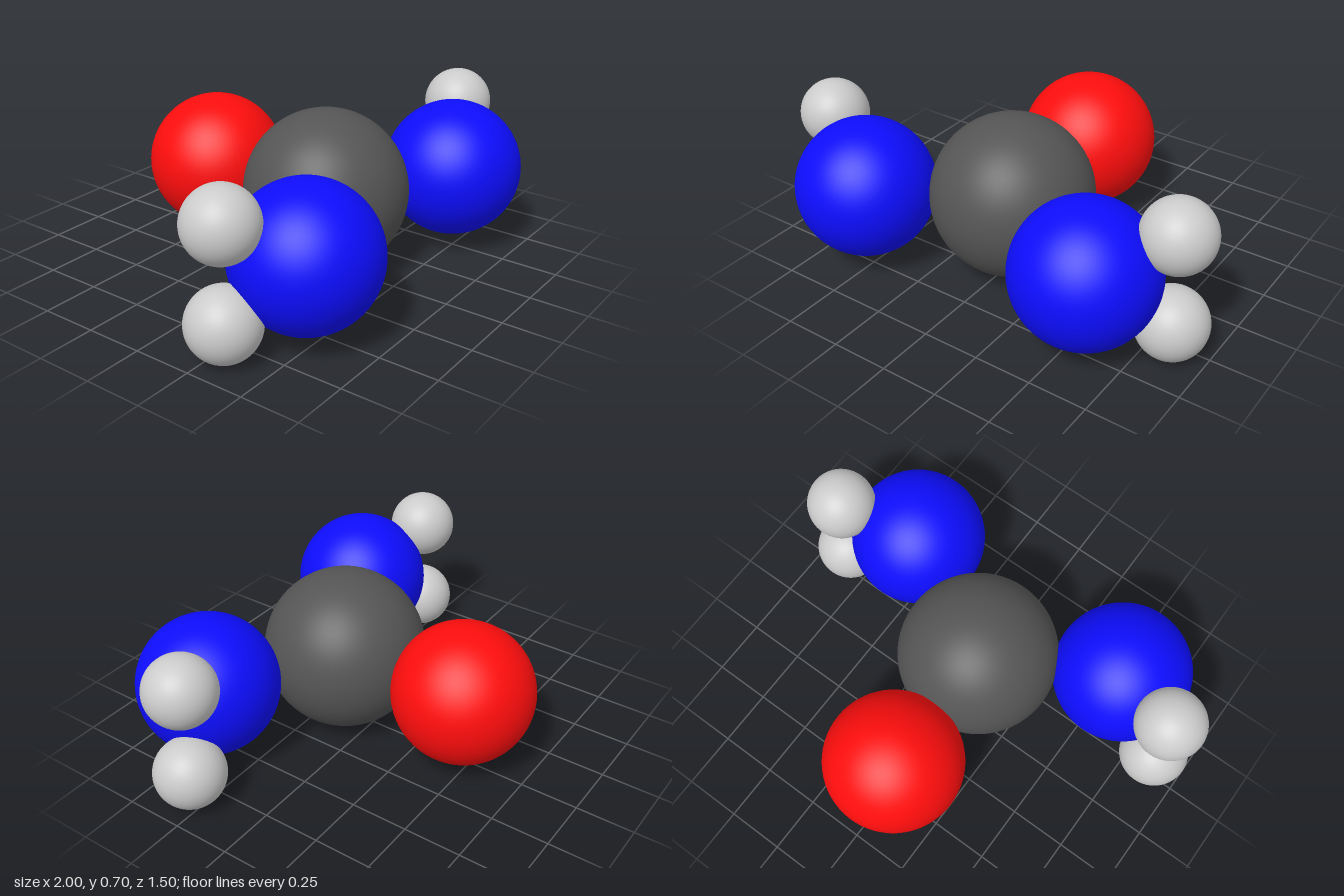
import * as THREE from 'three';

export function createModel() {
  const model = new THREE.Group();
  model.name = 'molecule';

  const paint = (color) => new THREE.MeshStandardMaterial({ color });
  const carbon = paint(0x555555);
  const oxygen = paint(0xff0d0d);
  const nitrogen = paint(0x0d0dff);
  const hydrogen = paint(0xcccccc);

  function addAtom(name, material, radius, x, y, z) {
    const atom = new THREE.Mesh(new THREE.SphereGeometry(radius, 64, 40), material);
    atom.name = name;
    atom.position.set(x, y, z);
    model.add(atom);
  }

  // Central carbon with the oxygen behind it
  const midY = 0.35;
  addAtom('carbonAtom', carbon, 0.35, 0, midY, 0.15);
  addAtom('oxygenAtom', oxygen, 0.3, 0, midY, -0.45);

  // Mirrored amino groups: one nitrogen with two hydrogens, upper and lower
  for (const [side, s] of [['left', 1], ['right', -1]]) {
    addAtom(`${side}NitrogenAtom`, nitrogen, 0.3, s * 0.55, midY, 0.45);
    addAtom(`${side}UpperHydrogenAtom`, hydrogen, 0.15, s * 0.85, midY + 0.2, 0.3);
    addAtom(`${side}LowerHydrogenAtom`, hydrogen, 0.15, s * 0.85, midY - 0.2, 0.3);
  }

  return model;
}
